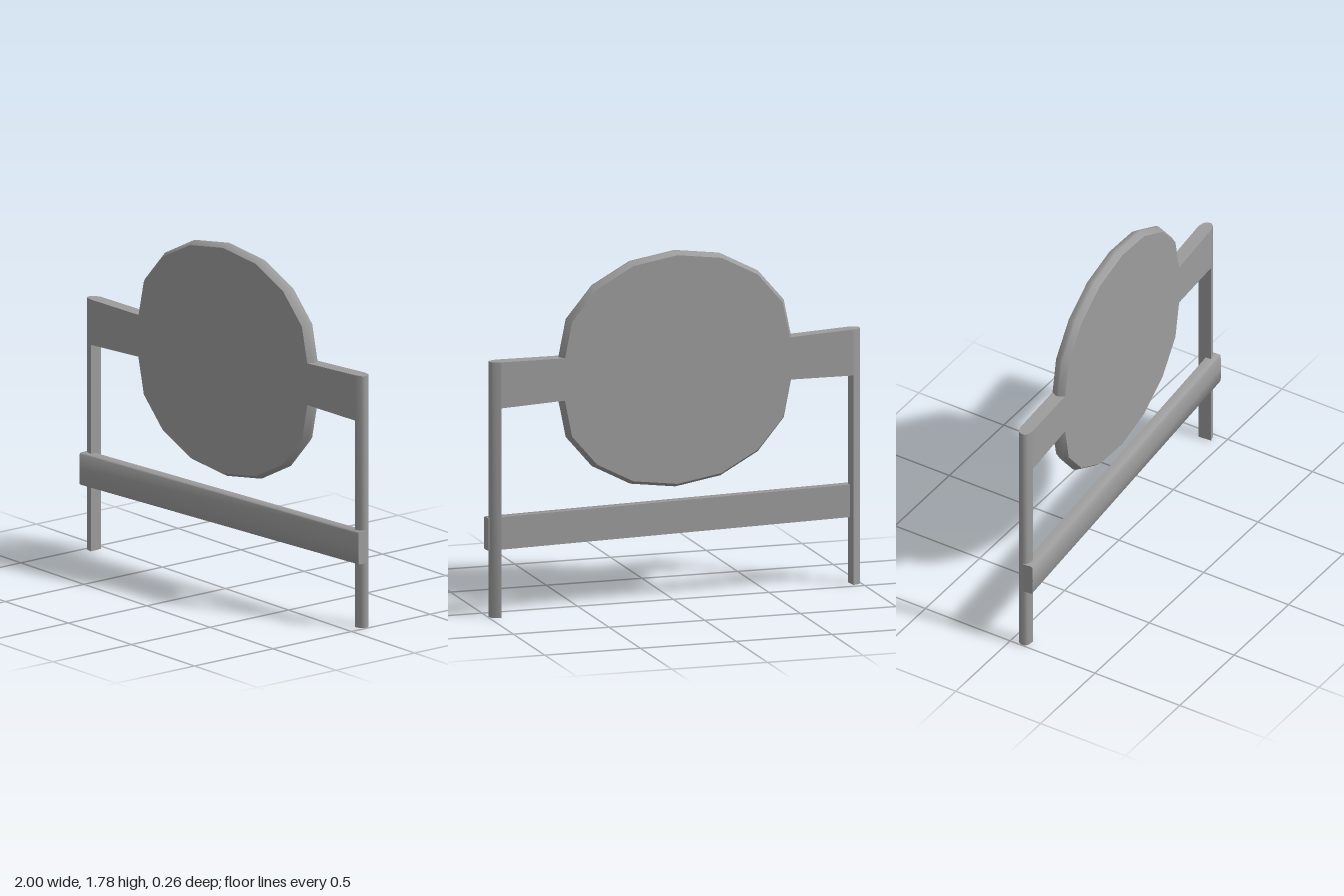
import * as THREE from 'three';
import { toCreasedNormals } from 'three/addons/utils/BufferGeometryUtils.js';

const BACK = -0.053, FRONT = 0.018;
const material = new THREE.MeshStandardMaterial({ color: 0x9c9c9c });

function extrude(points, depth, bevelSize = 0, bevelThickness = 0) {
  const shape = new THREE.Shape(points.map(([x, y]) => new THREE.Vector2(x, y)));
  return new THREE.ExtrudeGeometry(shape, {
    depth, bevelEnabled: bevelSize > 0, bevelSize, bevelThickness,
    bevelOffset: -bevelSize, bevelSegments: 1,
  });
}

function add(group, name, geometry) {
  const mesh = new THREE.Mesh(toCreasedNormals(geometry, 0.8), material);
  mesh.name = name;
  group.add(mesh);
}

export function createModel() {
  const group = new THREE.Group();
  group.name = 'headboard';
  const board = new THREE.Group();
  board.name = 'board';
  board.rotation.y = 0.0855;
  group.add(board);

  // Posts with a rounded outer edge, and the rail stubs joining them to the disc
  const plan = [[0.949, BACK], [0.985, -0.042], [0.998, -0.024],
    [0.998, -0.004], [0.985, 0.009], [0.949, FRONT]];
  const rail = [[0.58, 1.076], [0.949, 1.066], [0.949, 1.3], [0.58, 1.29]];
  for (const [side, s] of [['left', 1], ['right', -1]]) {
    const post = extrude(plan.map(([x, z]) => [s * x, -z]), 1.3);
    post.rotateX(-Math.PI / 2);
    add(board, side + 'Post', post);
    const stub = extrude(rail.map(([x, y]) => [s * x, y]), FRONT - BACK);
    stub.translate(0, 0, BACK);
    add(board, side + 'Rail', stub);
  }

  // Faceted disc panel: flat faces with a crisp border, softly shaded rim
  const quarter = [[0.625, 0.11], [0.585, 0.3], [0.445, 0.46], [0.243, 0.565]];
  const flipped = quarter.slice().reverse();
  const outline = [
    ...quarter, [0, 0.6], ...flipped.map(([x, y]) => [-x, y]),
    ...quarter.map(([x, y]) => [-x, -y]), [0, -0.6], ...flipped.map(([x, y]) => [x, -y]),
  ];
  const rim = 0.028;
  const disc = extrude(outline, FRONT - BACK - 2 * rim, 0.018, rim);
  disc.translate(0, 1.18, BACK + rim);
  add(board, 'discPanel', disc);

  // Lower crossbar, a softened section run along x across the front of the posts
  const section = [[-0.012, 0.337], [0.037, 0.337], [0.043, 0.343], [0.045, 0.42],
    [0.043, 0.497], [0.037, 0.503], [-0.012, 0.503]];
  const bar = extrude(section.map(([z, y]) => [-z, y]).reverse(), 2.006);
  bar.rotateY(Math.PI / 2);
  bar.translate(-1.003, 0, 0);
  add(board, 'crossbar', bar);

  return group;
}
